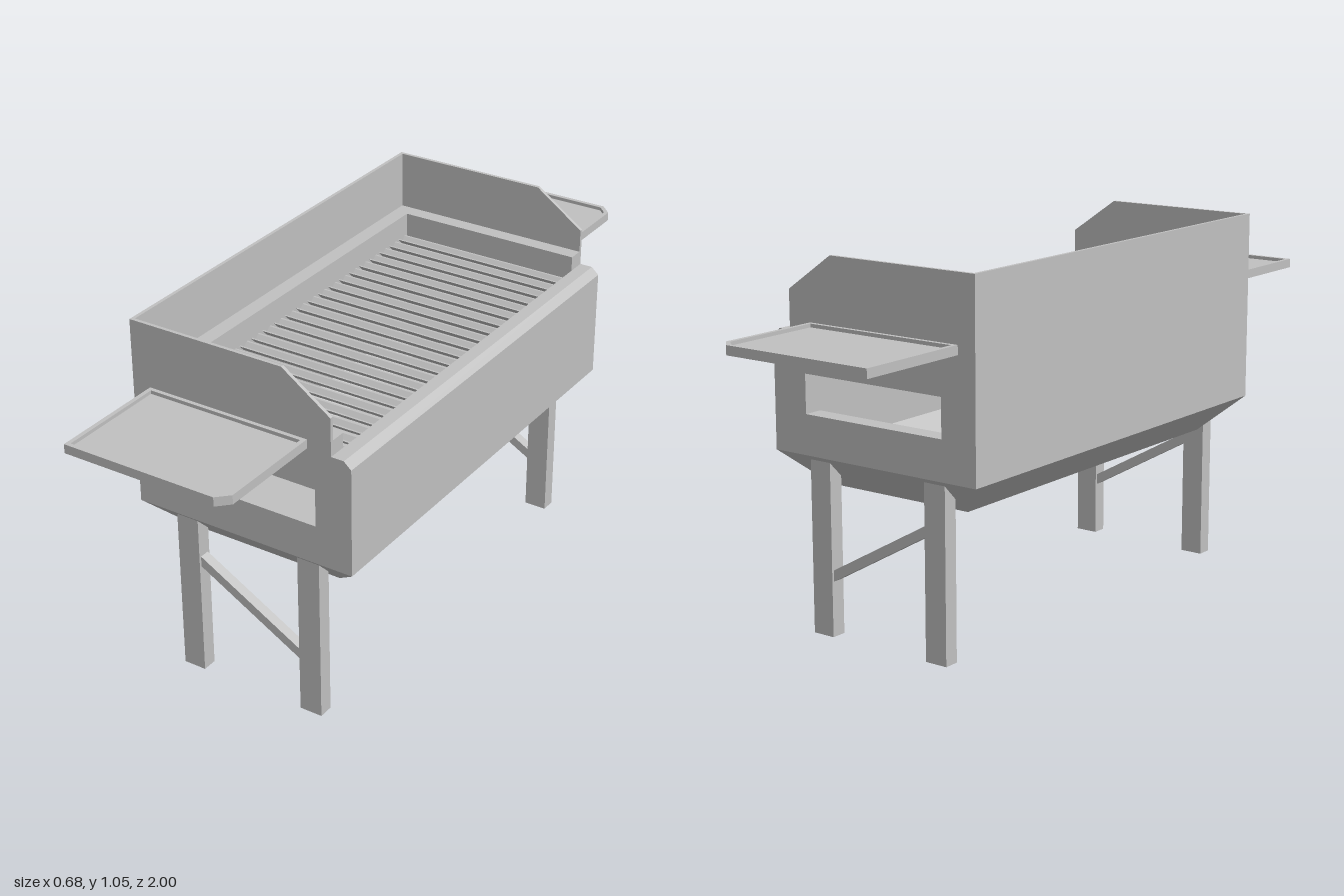
import * as THREE from 'three';

const steel = new THREE.MeshStandardMaterial({ color: 0xc0c0c0 });
steel.name = 'steel grey';

function add(parent, name, geometry) {
  const mesh = new THREE.Mesh(geometry, steel);
  mesh.name = name;
  parent.add(mesh);
  return mesh;
}

// Box given by its minimum and maximum on each axis
function box(x0, x1, y0, y1, z0, z1) {
  return new THREE.BoxGeometry(x1 - x0, y1 - y0, z1 - z0)
    .translate((x0 + x1) / 2, (y0 + y1) / 2, (z0 + z1) / 2);
}

const outline = (points) => points.map(([x, y]) => new THREE.Vector2(x, y));
const rect = (x0, x1, y0, y1) => [[x0, y0], [x1, y0], [x1, y1], [x0, y1]];

// Plate drawn in x-y and extruded from z0 to z1, with an optional hole
function plate(points, z0, z1, hole) {
  const shape = new THREE.Shape(outline(points));
  if (hole) shape.holes.push(new THREE.Path(outline(hole)));
  return new THREE.ExtrudeGeometry(shape, { depth: z1 - z0, bevelEnabled: false }).translate(0, 0, z0);
}

// Rectangular rings [halfX, halfZ, y] joined into a faceted shell
function shell(rings) {
  const pos = [], index = [];
  for (const [hx, hz, y] of rings) pos.push(-hx, y, hz, hx, y, hz, hx, y, -hz, -hx, y, -hz);
  for (let r = 0; r < rings.length - 1; r++) {
    for (let i = 0; i < 4; i++) {
      const a = r * 4 + i, b = r * 4 + (i + 1) % 4;
      index.push(a, b, b + 4, a, b + 4, a + 4);
    }
  }
  const indexed = new THREE.BufferGeometry();
  indexed.setAttribute('position', new THREE.Float32BufferAttribute(pos, 3));
  indexed.setIndex(index);
  const g = indexed.toNonIndexed();
  g.computeVertexNormals();
  return g;
}

// One end of the grill: panel, inner ledge, side shelf, legs and brace
function buildEnd() {
  const end = new THREE.Group();
  const vent = rect(-0.23, 0.23, 0.613, 0.723);
  add(end, 'endPanel', plate([
    [-0.34, 0.5], [0.34, 0.5], [0.34, 0.815], [0.318, 0.835],
    [0.28, 0.835], [0.28, 0.945], [0.135, 1.047], [-0.34, 1.047],
  ], 0.645, 0.655, vent));
  add(end, 'endLedge', plate(rect(-0.285, 0.28, 0.5, 0.878), 0.6, 0.645, vent));

  // Shelf is drawn flat, then laid down so that its shape's y becomes z
  const lay = (g, y) => g.rotateX(Math.PI / 2).translate(0, y, 0);
  const shelf = [[-0.285, 0.655], [0.208, 0.655], [0.208, 0.967], [0.175, 1], [-0.285, 1]];
  const inner = [[-0.273, 0.667], [0.196, 0.667], [0.196, 0.962], [0.17, 0.988], [-0.273, 0.988]];
  add(end, 'shelfRim', lay(plate(shelf, 0, 0.026, inner), 0.863));
  add(end, 'shelfPlate', lay(plate(inner, 0, 0.016), 0.853));

  for (const s of [-1, 1]) {
    add(end, 'leg', box(s * 0.195 - 0.034, s * 0.195 + 0.034, 0, 0.487, 0.598, 0.642));
  }
  add(end, 'diagonalBrace', plate([
    [-0.165, 0.341], [0.163, 0.155], [0.163, 0.186], [-0.165, 0.372],
  ], 0.605, 0.635));
  return end;
}

export function createModel() {
  const grill = new THREE.Group();
  grill.name = 'grill';

  // Tapered pan under the firebox, hollow inside
  add(grill, 'taperedPan', shell([
    [0, 0, 0.4], [0.235, 0.555, 0.4], [0.34, 0.655, 0.5],
    [0.33, 0.645, 0.5], [0.23, 0.55, 0.41], [0, 0, 0.41],
  ]));

  // Long walls
  add(grill, 'backWallLedge', box(-0.33, -0.285, 0.5, 0.878, -0.645, 0.645));
  add(grill, 'backWall', box(-0.34, -0.33, 0.5, 1.047, -0.645, 0.645));
  add(grill, 'frontWall', plate([
    [0.28, 0.5], [0.34, 0.5], [0.34, 0.815], [0.318, 0.835], [0.28, 0.835],
  ], -0.645, 0.645));

  // The far end mirrors the near one
  const nearEnd = buildEnd();
  nearEnd.name = 'nearEnd';
  const farEnd = buildEnd();
  farEnd.name = 'farEnd';
  farEnd.scale.z = -1;
  grill.add(nearEnd, farEnd);

  // Grate of V-shaped channels running across the firebox
  const grate = new THREE.Group();
  grate.name = 'grate';
  const channel = plate([
    [-0.02, 0], [0, -0.02], [0.02, 0], [0.014, 0], [0, -0.014], [-0.014, 0],
  ], -0.2825, 0.2825).rotateY(Math.PI / 2);
  const count = 22, pitch = 1.2 / count;
  for (let i = 0; i < count; i++) {
    add(grate, 'grateBar', channel).position.set(-0.0025, 0.81, -0.6 + pitch * (i + 0.5));
  }
  grill.add(grate);
  return grill;
}
